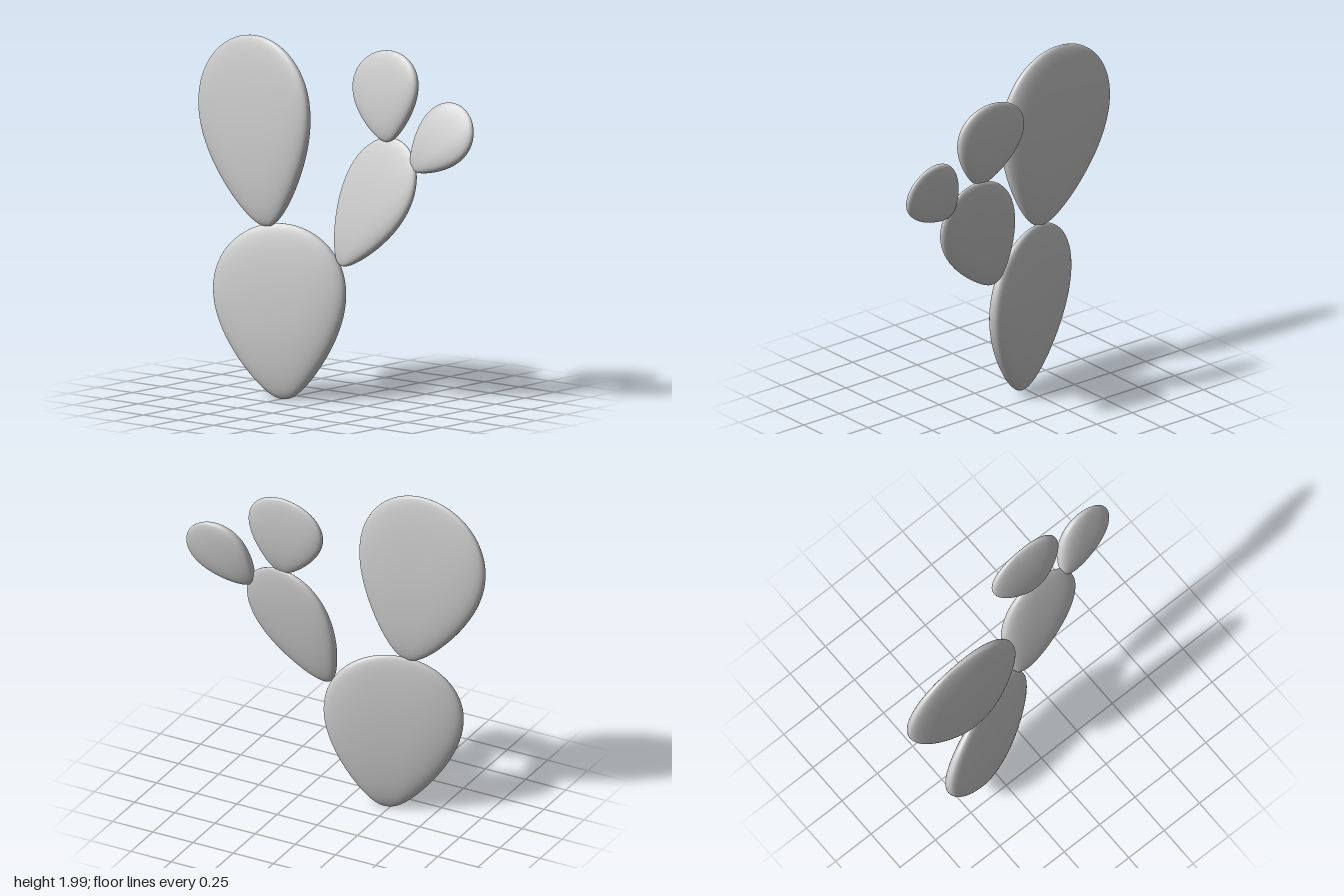
import * as THREE from 'three';
import { mergeVertices } from 'three/addons/utils/BufferGeometryUtils.js';

const material = new THREE.MeshStandardMaterial({ color: 0xcccccc });

// base/tip: ends of the pad's long axis; width/thick: half sizes;
// normal: direction the flat face looks towards
const pads = [
  { name: 'basePad', base: [-0.125, 0.005, -0.23], tip: [-0.1, 0.97, -0.31], width: 0.4, thick: 0.074, normal: [1, 0, -0.34] },
  { name: 'largeUpperPad', base: [-0.125, 0.95, -0.35], tip: [-0.105, 1.99, -0.525], width: 0.393, thick: 0.069, normal: [1, -0.02, -0.03] },
  { name: 'branchPad', base: [0, 0.765, 0.06], tip: [0.15, 1.46, 0.385], width: 0.25, thick: 0.052, normal: [1, -0.22, 0.02] },
  { name: 'upperBudPad', base: [0.137, 1.455, 0.285], tip: [0.205, 1.945, 0.202], width: 0.235, thick: 0.048, normal: [1, -0.12, 0] },
  { name: 'outerBudPad', base: [0.122, 1.325, 0.475], tip: [0.23, 1.66, 0.777], width: 0.18, thick: 0.048, normal: [1, -0.257, -0.07] },
];

// squared ellipse, so the faces are flat and the rims rounded
const soften = (v) => Math.sign(v) * Math.pow(Math.abs(v), 0.75);

// a sphere reshaped into a flat, egg-outlined pad, narrow at its base
function padGeometry({ base, tip, width, thick, normal }) {
  const start = new THREE.Vector3(...base);
  const axis = new THREE.Vector3(...tip).sub(start);
  const length = axis.length();
  axis.normalize();
  const n = new THREE.Vector3(...normal);
  n.addScaledVector(axis, -n.dot(axis)).normalize();
  const side = new THREE.Vector3().crossVectors(n, axis);

  const geo = new THREE.SphereGeometry(1, 64, 36);
  const pos = geo.attributes.position;
  const p = new THREE.Vector3();
  for (let i = 0; i < pos.count; i++) {
    p.fromBufferAttribute(pos, i);
    const s = (1 + p.y) / 2;
    const r = Math.hypot(p.x, p.z);
    const c = r > 1e-6 ? soften(p.x / r) : 0;
    const d = r > 1e-6 ? soften(p.z / r) : 0;
    const across = width * r * (0.54 + s - 0.42 * s * s) * d;
    const through = thick * r * (1.13 - 0.32 * s) * c;
    p.copy(start).addScaledVector(axis, s * length).addScaledVector(side, across).addScaledVector(n, through);
    pos.setXYZ(i, p.x, p.y, p.z);
  }
  // weld the seam for continuous smooth normals
  geo.deleteAttribute('uv');
  geo.deleteAttribute('normal');
  const welded = mergeVertices(geo, 1e-5);
  welded.computeVertexNormals();
  return welded;
}

export function createModel() {
  const cactus = new THREE.Group();
  cactus.name = 'cactus';
  for (const pad of pads) {
    const mesh = new THREE.Mesh(padGeometry(pad), material);
    mesh.name = pad.name;
    cactus.add(mesh);
  }
  return cactus;
}
